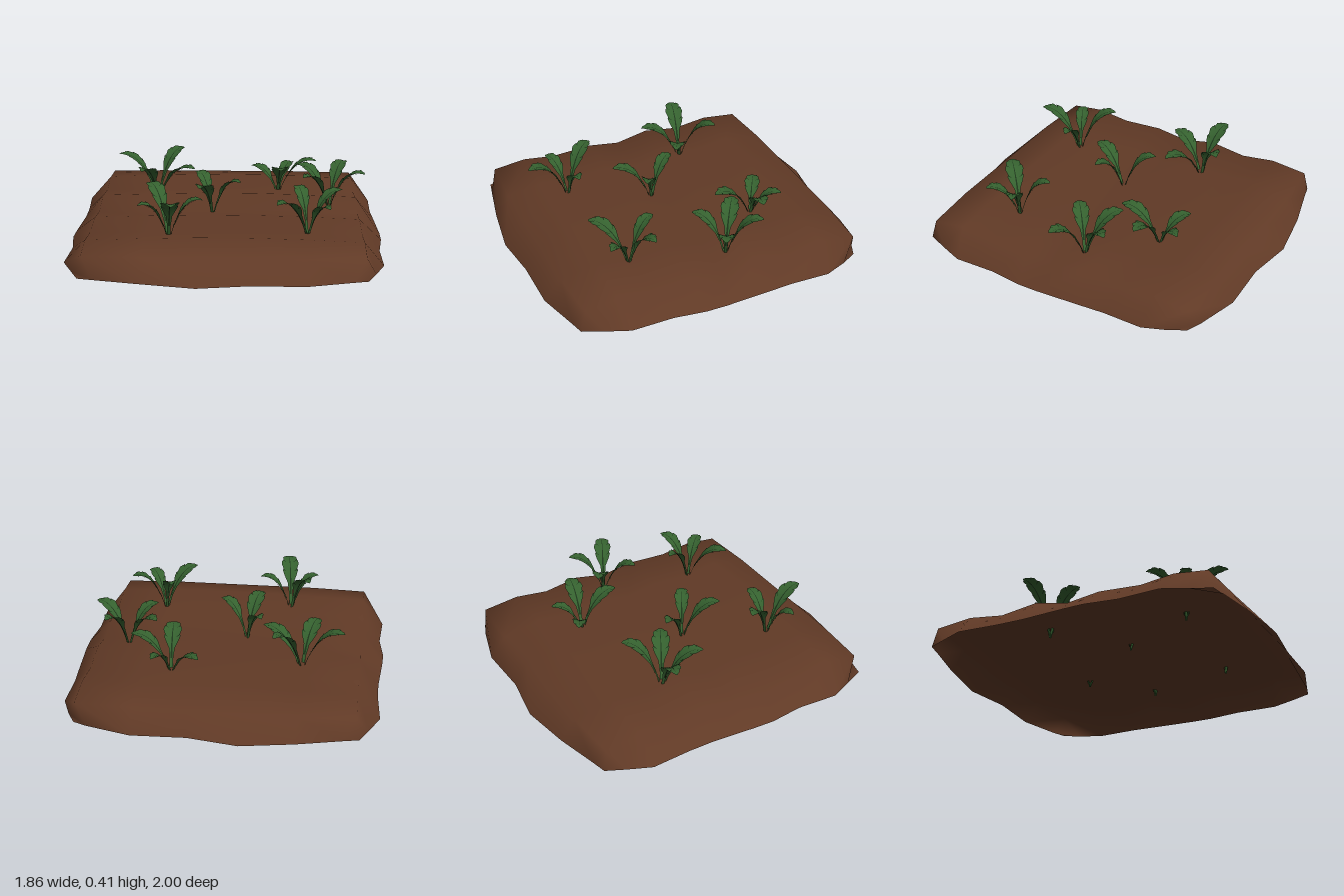
import * as THREE from 'three';

const soilMat = new THREE.MeshStandardMaterial({ color: 0x613a26, side: THREE.DoubleSide });
soilMat.name = 'soil brown';
const leafMat = new THREE.MeshStandardMaterial({ color: 0x35612f, side: THREE.DoubleSide });
leafMat.name = 'leaf green';
const ribMat = new THREE.MeshStandardMaterial({ color: 0x1b3519, side: THREE.DoubleSide });
ribMat.name = 'dark rib green';

function makeGeometry(points, index) {
  const g = new THREE.BufferGeometry();
  g.setAttribute('position', new THREE.Float32BufferAttribute(points.flat(), 3));
  g.setIndex(index);
  g.computeVertexNormals();
  return g;
}

// Joins equal rows of points into a sheet
function sheet(rows) {
  const n = rows[0].length, index = [];
  for (let r = 0; r < rows.length - 1; r++) {
    for (let c = 0; c < n - 1; c++) {
      const a = r * n + c, d = a + n;
      index.push(a, a + 1, d, a + 1, d + 1, d);
    }
  }
  return makeGeometry(rows.flat(), index);
}

// Open soil bed: ridges run along x, the rim slopes to the ground
function makeSoil() {
  const cols = [-0.79, -0.46, -0.15, 0.15, 0.46, 0.79];
  const fall = [0.88, 0.95, 1, 1, 0.96, 0.88];
  const ridges = [ // z, height, rim z, left rim x, right rim x
    [0.87, 0.13, 0.76, -0.86, 0.85], [0.65, 0.172, 0.62, -0.92, 0.905],
    [0.45, 0.143, 0.37, -0.905, 0.9], [0.2, 0.16, 0.17, -0.93, 0.925],
    [0, 0.128, 0.05, -0.925, 0.925], [-0.2, 0.176, -0.22, -0.905, 0.91],
    [-0.42, 0.14, -0.38, -0.905, 0.9], [-0.63, 0.172, -0.62, -0.92, 0.905],
    [-0.87, 0.13, -0.76, -0.86, 0.85]];
  const rimX = [-0.81, -0.72, -0.46, -0.15, 0.14, 0.46, 0.72, 0.8];
  const rim = zs => zs.map((z, i) => [rimX[i], i === 3 ? 0 : 0.006, z]);

  const rows = [rim([0.88, 0.9, 0.955, 1, 0.97, 0.97, 0.9, 0.88])];
  for (const [z, h, rimZ, left, right] of ridges) {
    const end = Math.abs(z) > 0.8;
    const top = cols.map((x, i) => {
      const corner = end && (i === 0 || i === 5);
      return [x, h * (end ? 0.98 : fall[i]), corner ? z * 0.975 : z];
    });
    rows.push([[left, 0.004, rimZ], ...top, [right, 0.004, rimZ]]);
  }
  rows.push(rim([-0.87, -0.89, -0.955, -1, -0.955, -0.965, -0.89, -0.855]));
  const soil = new THREE.Mesh(sheet(rows), soilMat);
  soil.name = 'soilBed';
  return soil;
}

// Leaf outline: distance along the leaf and half width, with notches
const outline = [[0, 0.008], [0.2, 0.01], [0.34, 0.017], [0.46, 0.038], [0.54, 0.047],
  [0.56, 0.041], [0.66, 0.052], [0.74, 0.048], [0.76, 0.039], [0.84, 0.041],
  [0.89, 0.032], [0.9, 0.025], [0.96, 0.016], [1, 0.001]];

function makeLeaf(base, tip) {
  const start = new THREE.Vector3(base[0], 0.1, base[1]);
  const end = new THREE.Vector3(tip[0], tip[2], tip[1]);
  const out = end.clone().sub(start).setY(0);
  const control = start.clone().addScaledVector(out, 0.38).setY(tip[2] + 0.03);
  const curve = new THREE.QuadraticBezierCurve3(start, control, end);
  const side = new THREE.Vector3(out.z, 0, -out.x).normalize();
  const size = THREE.MathUtils.clamp(out.length() / 0.23, 0.78, 1.05);

  // Point at t, s across (-1 to 1) and lift off the blade; blade is a shallow V
  const at = (t, s, half, lift) => {
    const normal = curve.getTangent(t).cross(side).normalize();
    return curve.getPoint(t).addScaledVector(side, s * half * size)
      .addScaledVector(normal, Math.abs(s) * half * 0.25 + lift).toArray();
  };
  const blade = new THREE.Mesh(
    sheet(outline.map(([t, w]) => [-1, 0, 1].map(s => at(t, s, w, 0)))), leafMat);
  blade.name = 'leafBlade';

  // Midrib and short side veins on both faces
  const points = [], index = [];
  const tri = (a, b, c) => {
    index.push(points.length, points.length + 1, points.length + 2);
    points.push(a, b, c);
  };
  for (const lift of [0.0035, -0.0035]) {
    for (let i = 0; i < 8; i++) {
      const t = 0.2 + i * 0.09, u = t + 0.09;
      const w = 0.0055 * (1 - i / 9), v = 0.0055 * (1 - (i + 1) / 9);
      const a = at(t, -1, w, lift), b = at(t, 1, w, lift);
      const c = at(u, 1, v, lift), d = at(u, -1, v, lift);
      tri(a, b, c);
      tri(a, c, d);
    }
    for (const [t, w] of [[0.55, 0.042], [0.75, 0.042], [0.89, 0.027]]) {
      for (const s of [-1, 1]) {
        tri(at(t - 0.012, s, w, lift), at(t + 0.018, s, w, lift), at(t - 0.04, s * 0.5, w, lift));
      }
    }
  }
  const ribs = new THREE.Mesh(makeGeometry(points, index), ribMat);
  ribs.name = 'leafRibs';

  const leaf = new THREE.Group();
  leaf.name = 'leaf';
  leaf.add(blade, ribs);
  return leaf;
}

// Each plant: base (x, z) and leaf tips (x, z, height)
const plants = [
  { base: [-0.45, -0.29], tips: [[-0.7, -0.34, 0.385], [-0.29, -0.465, 0.4], [-0.21, -0.16, 0.34], [-0.53, -0.06, 0.35]] },
  { base: [0.31, -0.41], tips: [[0.135, -0.52, 0.265], [0.4, -0.57, 0.28], [0.55, -0.37, 0.34], [0.325, -0.165, 0.33]] },
  { base: [0.62, -0.09], tips: [[0.42, -0.23, 0.36], [0.72, -0.28, 0.37], [0.83, 0.015, 0.365], [0.455, 0.05, 0.35]] },
  { base: [-0.09, 0.065], tips: [[-0.19, -0.105, 0.345], [0.08, 0.165, 0.35], [-0.16, 0.29, 0.35]] },
  { base: [-0.325, 0.525], tips: [[-0.45, 0.33, 0.4], [-0.13, 0.515, 0.35], [-0.29, 0.78, 0.39], [-0.495, 0.6, 0.34]] },
  { base: [0.475, 0.455], tips: [[0.41, 0.275, 0.37], [0.675, 0.37, 0.375], [0.595, 0.61, 0.33], [0.295, 0.63, 0.36]] },
];

export function createModel() {
  const model = new THREE.Group();
  model.name = 'plantedSoilBed';
  model.add(makeSoil());
  for (const { base, tips } of plants) {
    const plant = new THREE.Group();
    plant.name = 'plant';
    for (const tip of tips) plant.add(makeLeaf(base, tip));
    model.add(plant);
  }
  return model;
}
